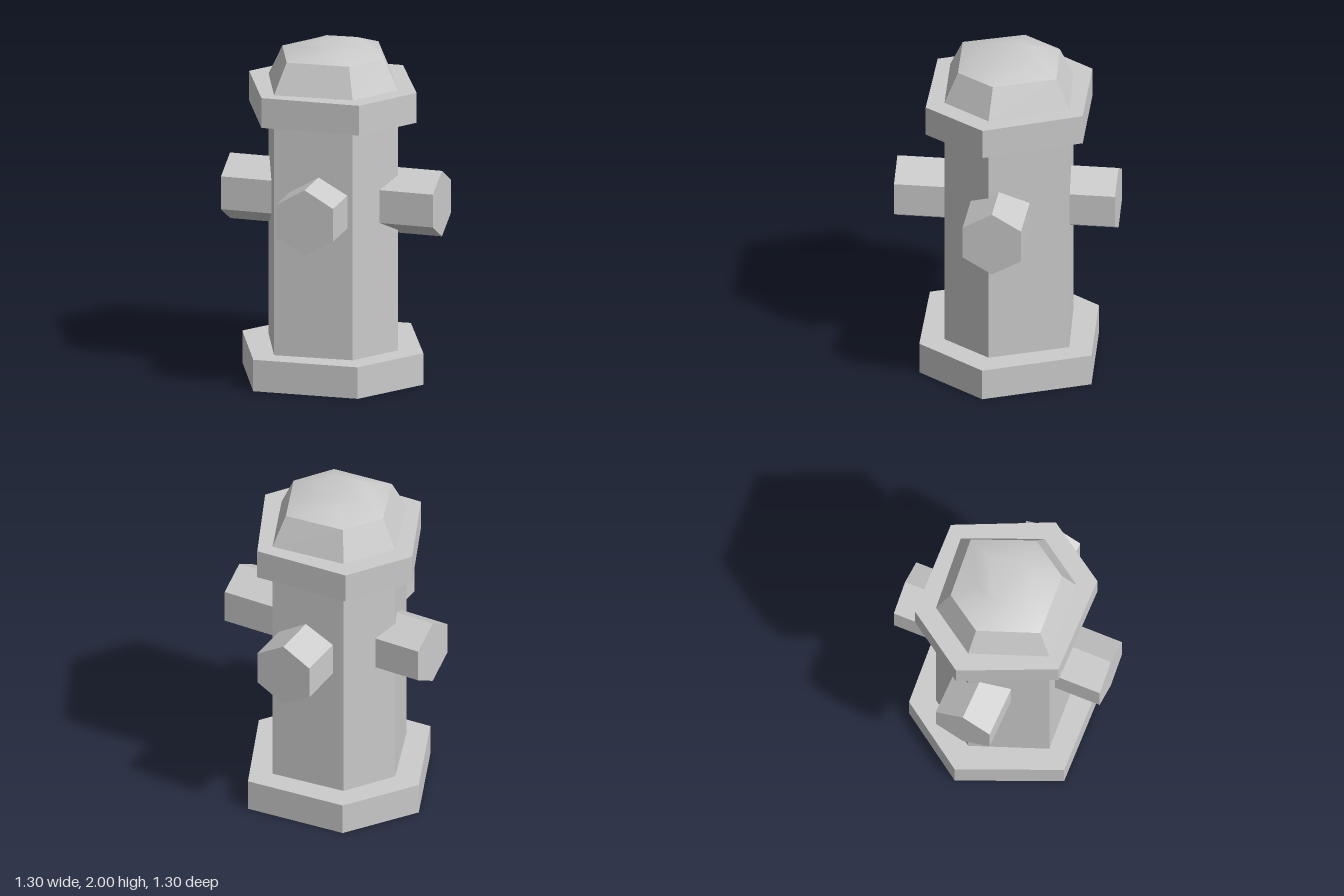
import * as THREE from 'three';

// Uneven hexagons as [x, z]: left, front left, front right, right, back right, back left
const BASE = [[-0.595, -0.09], [-0.355, 0.5], [0.275, 0.487], [0.555, 0.085], [0.3, -0.525], [-0.31, -0.495]];
const BODY = [[-0.43, -0.073], [-0.267, 0.37], [0.203, 0.348], [0.395, 0.067], [0.213, -0.385], [-0.24, -0.354]];
const BRIM = [[-0.555, -0.098], [-0.32, 0.45], [0.272, 0.45], [0.515, 0.088], [0.268, -0.47], [-0.308, -0.458]];
const DOME = [[-0.343, -0.06], [-0.214, 0.291], [0.16, 0.274], [0.308, 0.052], [0.168, -0.304], [-0.196, -0.28]];

// Place a hexagon at a height (one value, or one per corner)
const ring = (hex, y, scale = 1) =>
  hex.map(([x, z], i) => [x * scale, Array.isArray(y) ? y[i] : y, z * scale]);

// Skin a stack of rings, with optional end caps; flat or smooth shading
function loft(name, rings, { bottom = true, top = true, smooth = false } = {}) {
  const n = rings[0].length;
  const index = [];
  for (let r = 0; r < rings.length - 1; r++) {
    for (let i = 0; i < n; i++) {
      const a = r * n + i, b = r * n + (i + 1) % n;
      index.push(a, b, b + n, a, b + n, a + n);
    }
  }
  const last = (rings.length - 1) * n;
  for (let i = 1; i < n - 1; i++) {
    if (bottom) index.push(0, i + 1, i);
    if (top) index.push(last, last + i, last + i + 1);
  }
  let geometry = new THREE.BufferGeometry();
  geometry.setAttribute('position', new THREE.Float32BufferAttribute(rings.flat(2), 3));
  geometry.setIndex(index);
  if (!smooth) geometry = geometry.toNonIndexed();
  geometry.computeVertexNormals();
  const mesh = new THREE.Mesh(geometry, new THREE.MeshStandardMaterial({ color: 0xcccccc, flatShading: !smooth }));
  mesh.name = name;
  return mesh;
}

// Hexagonal outlet pointing along +z, with a corner at the top, turned about y
function outlet(name, angle) {
  const inner = 0.22, outer = 0.648;
  const geometry = new THREE.CylinderGeometry(0.198, 0.198, outer - inner, 6);
  geometry.rotateX(Math.PI / 2);
  geometry.translate(0, 0, (inner + outer) / 2);
  const mesh = new THREE.Mesh(geometry, new THREE.MeshStandardMaterial({ color: 0xcccccc, flatShading: true }));
  mesh.name = name;
  mesh.position.y = 1.083;
  mesh.rotation.y = angle;
  return mesh;
}

export function createModel() {
  const hydrant = new THREE.Group();
  hydrant.name = 'fireHydrant';

  // Foot, barrel and brim
  hydrant.add(
    loft('base', [ring(BASE, 0), ring(BASE, 0.19)]),
    loft('barrel', [ring(BODY, 0.19), ring(BODY, 1.58)]),
    loft('brim', [ring(BRIM, 1.58), ring(BRIM, 1.76)]),
  );

  // Cap: faceted slope with a softly shaded crown
  hydrant.add(
    loft('capSlope', [ring(BODY, 1.76), ring(DOME, 1.94)], { top: false }),
    loft('capCrown', [ring(DOME, 1.94), ring(DOME, [1.985, 2, 2, 1.985, 2, 2], 0.5)],
      { bottom: false, smooth: true }),
  );

  // Four outlets; the side pair is slightly skewed
  const skew = -0.027;
  hydrant.add(
    outlet('frontOutlet', 0),
    outlet('backOutlet', Math.PI),
    outlet('leftOutlet', Math.PI / 2 + skew),
    outlet('rightOutlet', -Math.PI / 2 + skew),
  );
  return hydrant;
}
